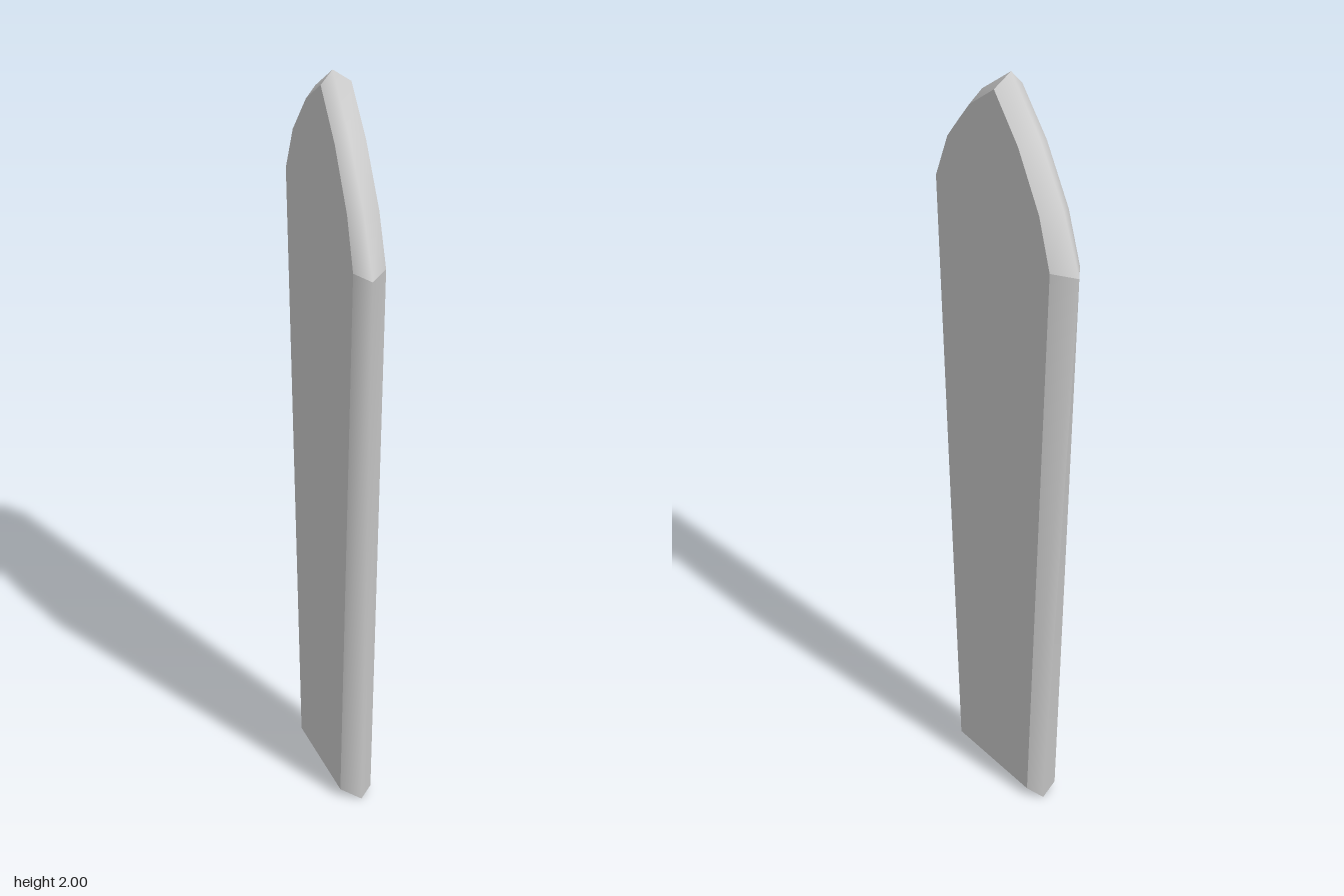
import * as THREE from 'three';

// Half outline from base to tip: outer ridge z, y, x, then inner face-edge z, y, half thickness
const HALF = [
  [0.205, 0, 0.008, 0.177, 0.02, 0.04],
  [0.368, 1.57, -0.009, 0.307, 1.57, 0.044],
  [0.287, 1.725, -0.009, 0.248, 1.71, 0.043],
  [0.157, 1.877, -0.009, 0.132, 1.855, 0.042],
  [0, 2, -0.009, 0, 1.96, 0.041],
];

// Each station holds three points: +x face edge, outer ridge, -x face edge
const station = ([z, y, x, zi, yi, t], side) => [
  [t, yi, zi * side],
  [x, y, z * side],
  [-t, yi, zi * side],
];

function geometry(points, index) {
  const geo = new THREE.BufferGeometry();
  geo.setAttribute('position', new THREE.Float32BufferAttribute(points.flat(), 3));
  geo.setIndex(index);
  geo.computeVertexNormals();
  return geo;
}

// Bevelled edge strip, smooth over its ridge
function bevel(stations) {
  const index = [];
  for (let i = 0; i < stations.length - 1; i++) {
    for (let c = 0; c < 2; c++) {
      const a = i * 3 + c;
      index.push(a, a + 1, a + 4, a, a + 4, a + 3);
    }
  }
  return geometry(stations.flat(), index);
}

// Broad face, filled as a fan
function face(points, flip) {
  const index = [];
  for (let i = 1; i < points.length - 1; i++) {
    index.push(0, flip ? i + 1 : i, flip ? i : i + 1);
  }
  return geometry(points, index);
}

export function createModel() {
  const group = new THREE.Group();
  group.name = 'taperedPanel';
  const material = new THREE.MeshStandardMaterial({ color: 0xcccccc });
  const add = (name, geo) => {
    const mesh = new THREE.Mesh(geo, material);
    mesh.name = name;
    group.add(mesh);
  };

  const right = HALF.map((p) => station(p, -1)); // base to tip at -z
  const left = HALF.map((p) => station(p, 1)).reverse(); // tip to base at +z
  const loop = [left[4], ...right, ...left.slice(1, 4)];

  // Broad faces
  add('leftFace', face(loop.map((s) => s[0]), false));
  add('rightFace', face(loop.map((s) => s[2]), true));

  // Bevels, sharp at base corners, shoulders and tip
  add('baseBevel', bevel([left[4], right[0]]));
  add('backSideBevel', bevel(right.slice(0, 2)));
  add('backArchBevel', bevel(right.slice(1)));
  add('frontArchBevel', bevel(left.slice(0, 4)));
  add('frontSideBevel', bevel(left.slice(3)));

  return group;
}
